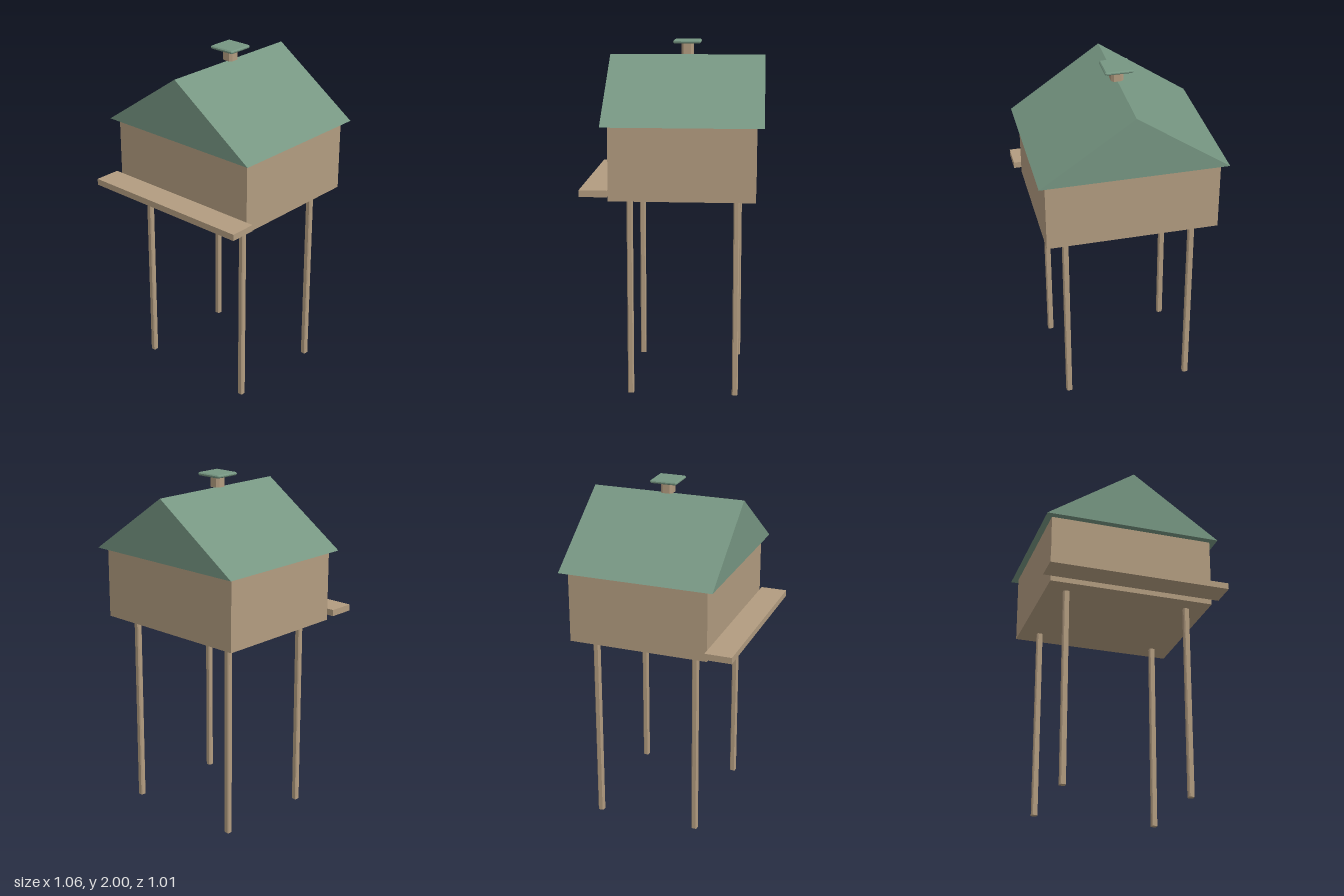
import * as THREE from 'three';

// Rectangle with chamfered corners, centred on the origin
function chamferedRect(w, d, c) {
  const x = w / 2, y = d / 2;
  return new THREE.Shape([
    [x - c, -y], [x, -y + c], [x, y - c], [x - c, y],
    [-x + c, y], [-x, y - c], [-x, -y + c], [-x + c, -y],
  ].map(([a, b]) => new THREE.Vector2(a, b)));
}

// Upright bar with chamfered edges, standing on y = 0
function chamferedBar(w, h, d, c, bevel = 0) {
  const g = new THREE.ExtrudeGeometry(chamferedRect(w - 2 * bevel, d - 2 * bevel, c), {
    depth: h - 2 * bevel, bevelEnabled: bevel > 0,
    bevelSize: bevel, bevelThickness: bevel, bevelSegments: 1,
  });
  return g.translate(0, 0, bevel).rotateX(-Math.PI / 2);
}

export function createModel() {
  const model = new THREE.Group();
  model.name = 'stiltHut';
  const wood = new THREE.MeshStandardMaterial({ name: 'tan wood', color: 0xb29c80, flatShading: true });
  const green = new THREE.MeshStandardMaterial({ name: 'green roofing', color: 0x769682, flatShading: true });

  const add = (name, geometry, material, x, y, z) => {
    const mesh = new THREE.Mesh(geometry, material);
    mesh.name = name;
    mesh.position.set(x, y, z);
    model.add(mesh);
  };

  // Four stilts
  const stilt = chamferedBar(0.034, 1.146, 0.034, 0.006);
  for (const x of [-0.364, 0.364])
    for (const z of [-0.355, 0.243]) add('stilt', stilt, wood, x, 0, z);

  // Cabin and front ledge
  add('cabin', new THREE.BoxGeometry(0.97, 0.414, 0.812), wood, 0, 1.352, -0.056);
  add('frontLedge', new THREE.BoxGeometry(1.056, 0.037, 0.155), wood, 0, 1.194, 0.4275);

  // Gabled roof with closed underside
  const gable = new THREE.Shape([[-0.522, 0], [0.522, 0], [0, 0.359]].map(([a, b]) => new THREE.Vector2(a, b)));
  add('roof', new THREE.ExtrudeGeometry(gable, { depth: 0.893, bevelEnabled: false }), green, 0, 1.557, -0.504);

  // Chimney and its cap
  add('chimney', chamferedBar(0.07, 0.068, 0.07, 0.014), wood, 0, 1.919, -0.058);
  add('chimneyCap', chamferedBar(0.16, 0.018, 0.157, 0.003, 0.006), green, 0, 1.982, -0.058);

  return model;
}
